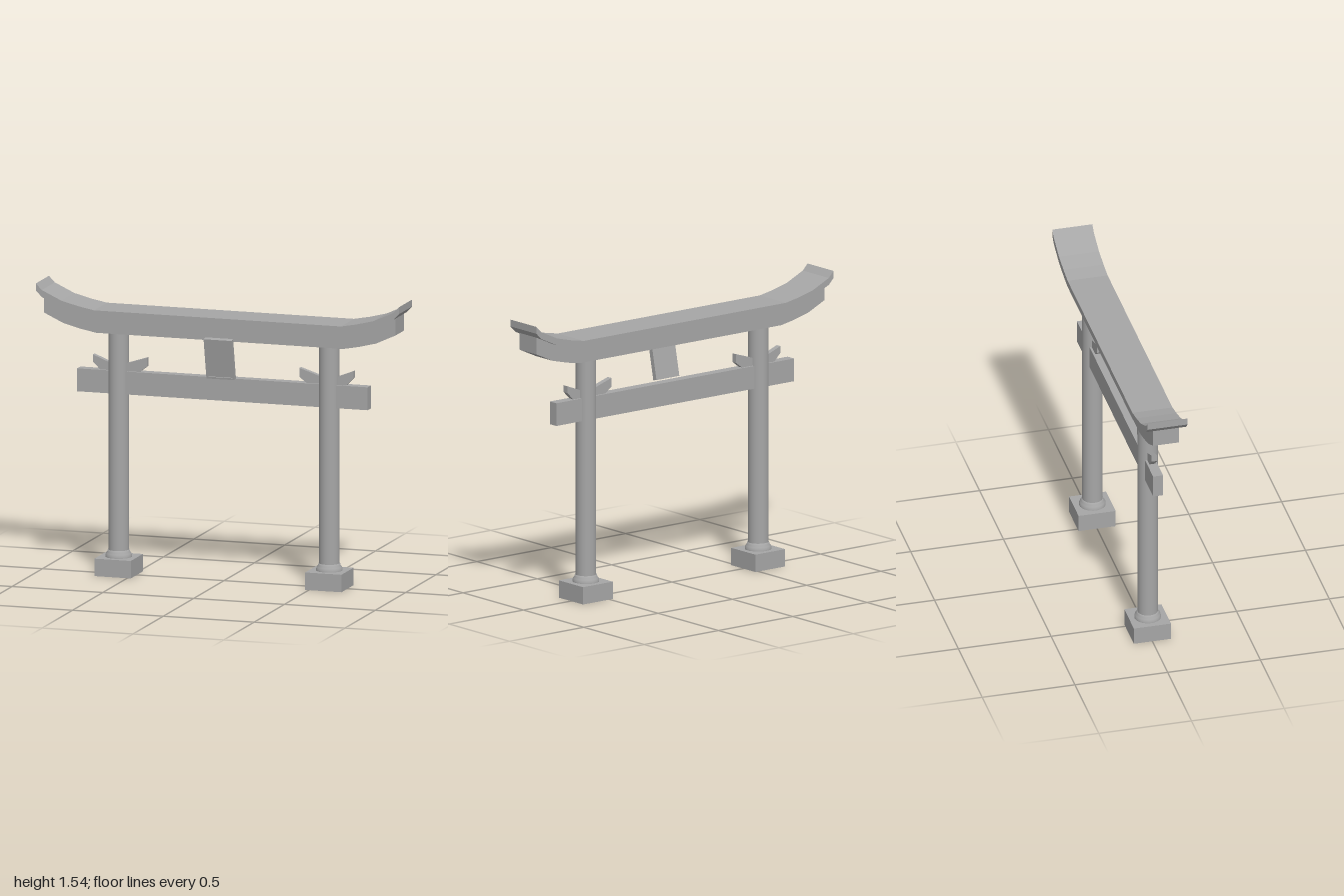
import * as THREE from 'three';

const stone = new THREE.MeshStandardMaterial({ color: 0xa6a6a6 });
stone.name = 'grey';

// Upward sweep of the roof beams: [x, rise]
const sweep = [[0.68, 0], [0.765, 0.016], [0.86, 0.04], [0.968, 0.09], [1, 0.123]];

function add(parent, name, geometry, x = 0, y = 0, z = 0) {
  const mesh = new THREE.Mesh(geometry, stone);
  mesh.name = name;
  mesh.position.set(x, y, z);
  parent.add(mesh);
  return mesh;
}

// Extrudes a side profile, centred on z = 0
function slab(points, depth, holes = []) {
  const shape = new THREE.Shape(points.map(([x, y]) => new THREE.Vector2(x, y)));
  for (const hole of holes) shape.holes.push(new THREE.Path(hole.map(([x, y]) => new THREE.Vector2(x, y))));
  return new THREE.ExtrudeGeometry(shape, { depth, bevelEnabled: false }).translate(0, 0, -depth / 2);
}

const rect = (w, h) => [[-w / 2, -h / 2], [w / 2, -h / 2], [w / 2, h / 2], [-w / 2, h / 2]];

// Beam that is straight in the middle and curves up at both ends
function curvedBeam(bottom, top, depth, steps) {
  const half = sweep.slice(0, steps);
  const line = [...half.map(([x, r]) => [-x, r]).reverse(), ...half];
  const lower = line.map(([x, r]) => [x, bottom + r]);
  const upper = line.map(([x, r]) => [x, top + r]).reverse();
  return slab([...lower, ...upper], depth);
}

export function createModel() {
  const model = new THREE.Group();
  model.name = 'gate';

  // Roof beams
  add(model, 'topBeam', curvedBeam(1.38, 1.417, 0.216, 5));
  add(model, 'underBeam', curvedBeam(1.29, 1.38, 0.14, 4));

  // Tie beam through both pillars
  add(model, 'tieBeam', new THREE.BoxGeometry(1.6, 0.122, 0.054), 0, 1.024, 0);

  // Pillars with plinth, rounded collar and wedges
  const collar = [[0.07, 0.092], [0.07, 0.1], [0.066, 0.112], [0.059, 0.121], [0.057, 0.131], [0.05, 0.131]]
    .map(([r, y]) => new THREE.Vector2(r, y));
  for (const side of [1, -1]) {
    const post = new THREE.Group();
    post.name = side > 0 ? 'leftPost' : 'rightPost';
    post.position.x = side * 0.58;
    add(post, 'plinth', new THREE.BoxGeometry(0.2, 0.093, 0.2), 0, 0.0465, 0);
    add(post, 'collar', new THREE.LatheGeometry(collar, 32));
    add(post, 'pillar', new THREE.CylinderGeometry(0.054, 0.054, 1.2, 32), 0, 0.692, 0);
    for (const dir of [1, -1]) {
      const outer = dir === side;
      const tip = outer ? 0.137 : 0.16;
      const low = outer ? 1.125 : 1.115;
      const wedge = [[0.03, 1.083], [tip - 0.042, 1.083], [tip, low], [tip, 1.162], [0.03, 1.12]]
        .map(([x, y]) => [x * dir, y]);
      add(post, outer ? 'outerWedge' : 'innerWedge', slab(wedge, 0.03));
    }
    model.add(post);
  }

  // Framed plaque leaning forward
  const plaque = new THREE.Group();
  plaque.name = 'plaque';
  plaque.position.set(0, 1.195, 0.07);
  plaque.rotation.x = 0.21;
  const w = 0.154, h = 0.222, rim = 0.01;
  add(plaque, 'plaqueFrame', slab(rect(w, h), 0.027, [rect(w - 2 * rim, h - 2 * rim)]));
  add(plaque, 'plaquePanel', new THREE.BoxGeometry(w - 2 * rim, h - 2 * rim, 0.021), 0, 0, -0.003);
  model.add(plaque);

  return model;
}
